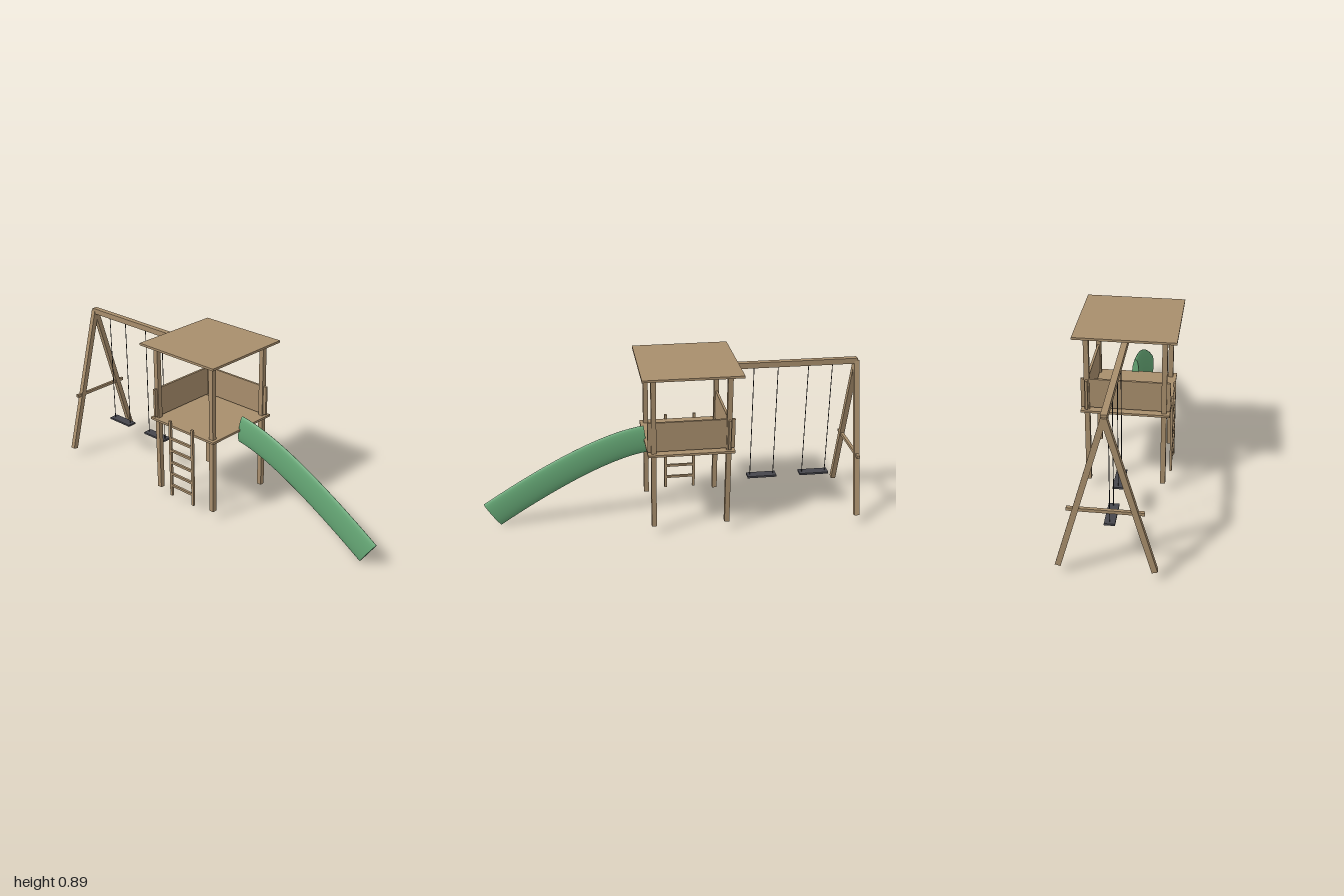
import * as THREE from 'three';

const wood = new THREE.MeshStandardMaterial({ color: 0xa88e6c });
const green = new THREE.MeshStandardMaterial({ color: 0x66a876 });
const dark = new THREE.MeshStandardMaterial({ color: 0x46464c });
const ropeMat = new THREE.MeshStandardMaterial({ color: 0x242426 });

function add(parent, name, geometry, material, x = 0, y = 0, z = 0) {
  const mesh = new THREE.Mesh(geometry, material);
  mesh.name = name;
  mesh.position.set(x, y, z);
  parent.add(mesh);
  return mesh;
}

const box = (parent, name, size, pos, material = wood) =>
  add(parent, name, new THREE.BoxGeometry(...size), material, ...pos);

function group(parent, name) {
  const g = new THREE.Group();
  g.name = name;
  parent.add(g);
  return g;
}

const CX = -0.088;     // tower centre
const POST = 0.194;    // post offset from the tower centre
const FOOT = 0.055;    // height of the post feet

function buildTower(root) {
  const tower = group(root, 'tower');
  for (const sx of [-1, 1]) for (const sz of [-1, 1]) {
    box(tower, 'post', [0.026, 0.835, 0.026], [CX + sx * POST, FOOT + 0.4175, sz * POST]);
  }
  box(tower, 'platform', [0.45, 0.012, 0.45], [CX, 0.473, 0]);
  box(tower, 'roof', [0.511, 0.012, 0.511], [CX, 0.895, 0]);
  // walls run through the post centres on the back and swing sides
  box(tower, 'backWall', [0.45, 0.16, 0.0125], [CX, 0.568, -POST]);
  box(tower, 'sideWall', [0.0125, 0.16, 0.45], [CX - POST, 0.568, 0]);
}

function buildLadder(root) {
  const ladder = group(root, 'ladder');
  for (const x of [-0.167, -0.008]) {
    box(ladder, 'ladderRail', [0.015, 0.448, 0.0125], [x, 0.279, 0.225]);
  }
  for (let i = 0; i < 5; i++) {
    box(ladder, 'rung', [0.159, 0.0125, 0.0125], [-0.0875, 0.119 + i * 0.0705, 0.225]);
  }
}

function buildSwings(root) {
  const swings = group(root, 'swingSet');
  const legX = -0.9865, topY = 0.859;
  box(swings, 'beam', [0.739, 0.03, 0.03], [-0.6205, topY, 0]);
  // splayed legs
  const drop = topY - FOOT, spread = 0.225;
  for (const s of [-1, 1]) {
    const leg = box(swings, 'swingLeg', [0.026, Math.hypot(drop, spread), 0.028],
      [legX, (topY + FOOT) / 2, s * spread / 2]);
    leg.rotation.x = -s * Math.atan2(spread, drop);
  }
  box(swings, 'crossBrace', [0.016, 0.016, 0.354], [legX, 0.376, 0]);
  // two hanging seats
  for (const x of [-0.797, -0.507]) {
    const swing = group(swings, 'swing');
    box(swing, 'seat', [0.16, 0.01, 0.052], [x, 0.215, 0], dark);
    for (const s of [-1, 1]) {
      add(swing, 'rope', new THREE.CylinderGeometry(0.002, 0.002, 0.63, 8), ropeMat,
        x + s * 0.064, 0.53, 0);
    }
  }
}

function buildSlide(root) {
  const slide = group(root, 'slide');
  const radius = 0.077, flat = 0.018 / radius;
  const path = new THREE.QuadraticBezierCurve3(
    new THREE.Vector3(0.127, 0.471, 0),
    new THREE.Vector3(0.4, 0.437, 0),
    new THREE.Vector3(0.953, 0.072, 0));
  // round tube squeezed sideways to an ellipse
  const tube = new THREE.TubeGeometry(path, 32, radius, 32, false);
  tube.scale(1, 1, flat);
  add(slide, 'slideTube', tube, green);
  // end caps facing outward along the path
  for (const t of [0, 1]) {
    const dir = path.getTangent(t).multiplyScalar(t ? 1 : -1);
    const cap = new THREE.CircleGeometry(radius, 32);
    cap.rotateY(Math.PI / 2);
    cap.scale(1, 1, flat);
    cap.rotateZ(Math.atan2(dir.y, dir.x));
    add(slide, 'slideEnd', cap, green, ...path.getPoint(t).toArray());
  }
}

export function createModel() {
  const root = new THREE.Group();
  root.name = 'playground';
  buildTower(root);
  buildLadder(root);
  buildSwings(root);
  buildSlide(root);
  return root;
}
